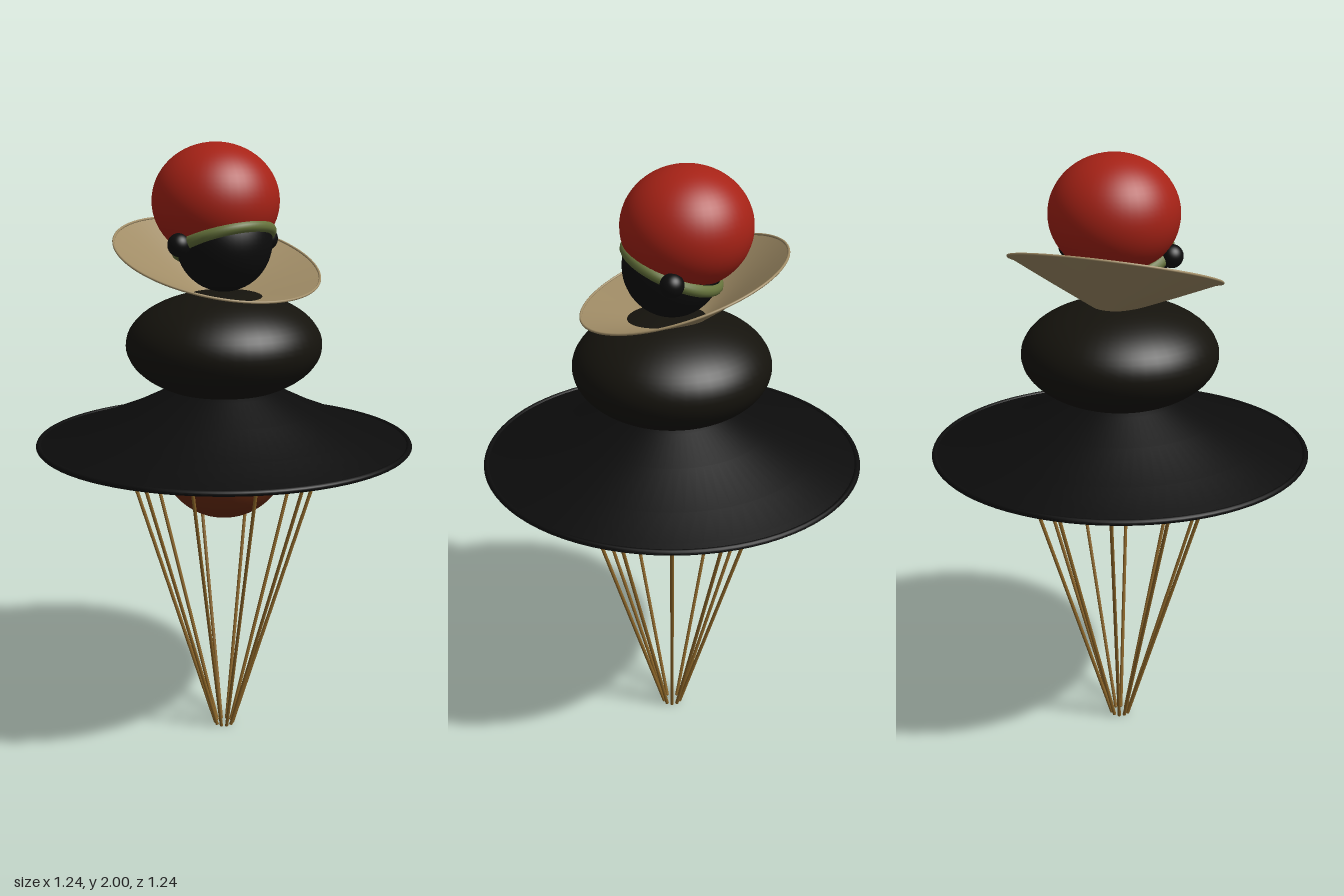
import * as THREE from 'three';

const material = (color, side = THREE.FrontSide) => new THREE.MeshStandardMaterial({ color, side });
const black = material(0x0c0c0c);
const blackSheet = material(0x0c0c0c, THREE.DoubleSide);
const darkBrown = material(0x15130d);
const red = material(0xa62216);
const tan = material(0xa08c66, THREE.DoubleSide);
const green = material(0x66733c);
const rust = material(0x6b2c12);
const brass = material(0x8a6428);

export function createModel() {
  const model = new THREE.Group();

  const add = (name, geometry, mat, x = 0, y = 0, z = 0, parent = model) => {
    const mesh = new THREE.Mesh(geometry, mat);
    mesh.name = name;
    mesh.position.set(x, y, z);
    parent.add(mesh);
    return mesh;
  };
  const ellipsoid = (name, mat, r, ry, y, x = 0, z = 0) =>
    add(name, new THREE.SphereGeometry(r, 48, 32).scale(1, ry / r, 1), mat, x, y, z);
  const ring = (name, mat, r, tube, y, parent) =>
    add(name, new THREE.TorusGeometry(r, tube, 12, 80).rotateX(Math.PI / 2), mat, 0, y, 0, parent);
  const profile = (points) =>
    new THREE.LatheGeometry(points.map(([r, y]) => new THREE.Vector2(r, y)), 80);

  // Stacked rounded masses
  ellipsoid('belly', rust, 0.215, 0.215, 0.99);
  ellipsoid('body', darkBrown, 0.32, 0.175, 1.36);
  ellipsoid('head', black, 0.155, 0.158, 1.69);
  ellipsoid('cap', red, 0.205, 0.185, 1.815, 0, -0.045);
  for (const side of [-1, 1]) {
    ellipsoid(side > 0 ? 'leftEar' : 'rightEar', black, 0.037, 0.037, 1.69, side * 0.173);
  }

  // Headband, raised at the front
  ring('headband', green, 0.152, 0.02, 1.69).rotation.x = -0.4;

  // Shallow conical collar, raised at the back
  const collar = new THREE.Group();
  collar.name = 'collar';
  collar.position.set(0, 1.638, -0.035);
  collar.rotation.x = 0.32;
  model.add(collar);
  add('collarCone', profile([[0, -0.14], [0.05, -0.126], [0.2, -0.062], [0.34, 0]]), tan, 0, 0, 0, collar);
  ring('collarEdge', tan, 0.338, 0.004, 0, collar);

  // Flared hollow skirt with a rolled hem
  add('skirt', profile([[0.62, 1.036], [0.58, 1.048], [0.466, 1.085], [0.31, 1.148],
    [0.19, 1.206], [0.12, 1.235]].reverse()), blackSheet);
  ring('skirtHem', black, 0.61, 0.009, 1.037);

  // Ten wire legs, hooked inward under the skirt
  const legPath = new THREE.CurvePath();
  const knee = new THREE.Vector3(0.347, 1.035, 0);
  legPath.add(new THREE.LineCurve3(new THREE.Vector3(0.03, 0.003, 0), knee));
  legPath.add(new THREE.CubicBezierCurve3(knee, new THREE.Vector3(0.368, 1.1, 0),
    new THREE.Vector3(0.35, 1.115, 0), new THREE.Vector3(0.3, 1.14, 0)));
  const legGeometry = new THREE.TubeGeometry(legPath, 80, 0.006, 8);
  const legCap = new THREE.SphereGeometry(0.006, 8, 6);
  for (let i = 0; i < 10; i++) {
    const leg = new THREE.Group();
    leg.name = `wireLeg${i + 1}`;
    leg.rotation.y = (i * Math.PI) / 5;
    add('wire', legGeometry, brass, 0, 0, 0, leg);
    add('wireTip', legCap, brass, 0.03, 0.006, 0, leg);
    model.add(leg);
  }

  return model;
}
